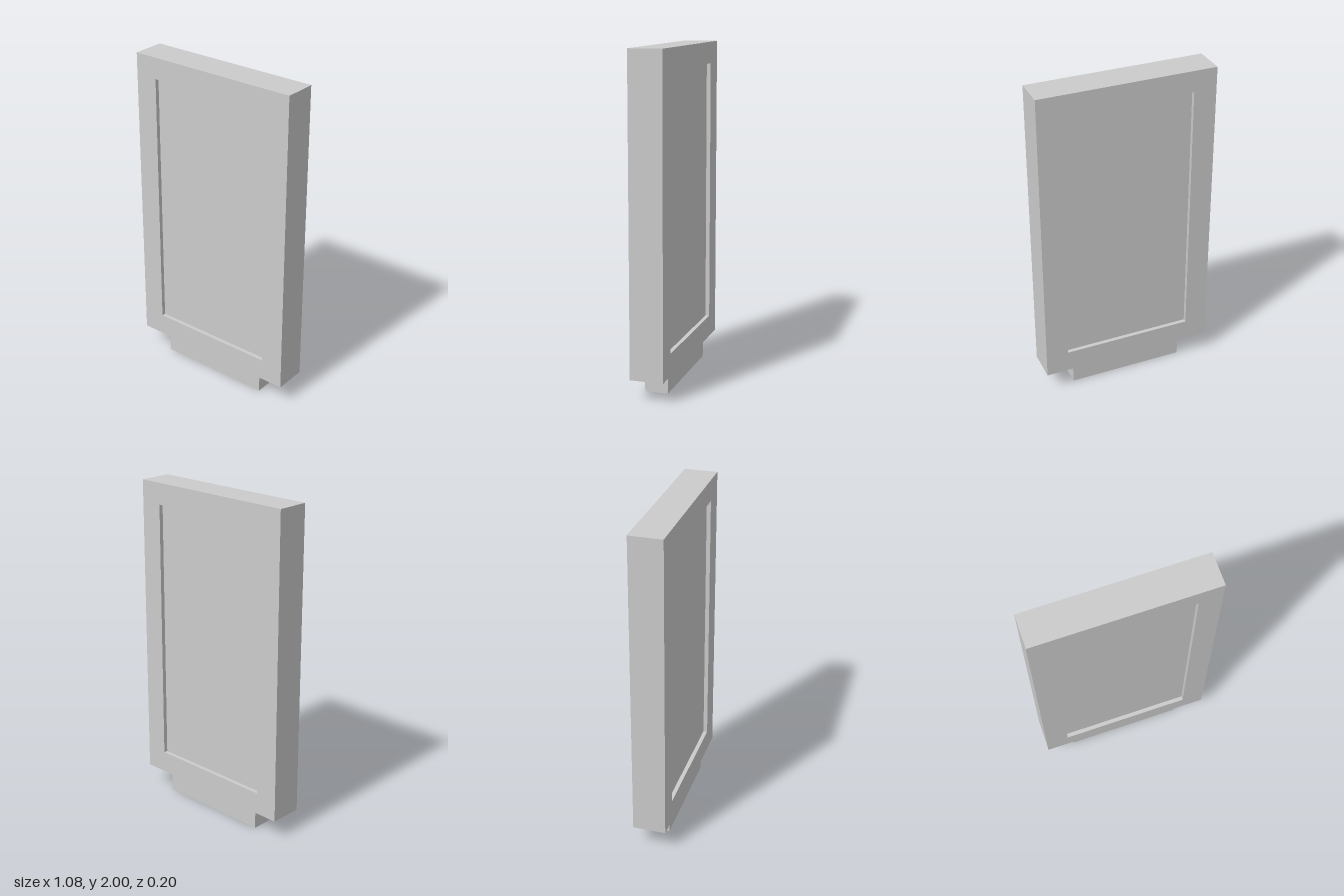
import * as THREE from 'three';

const WIDTH = 1.08, DEPTH = 0.2, BOTTOM = 0.125, TOP = 2;
const OPENING = { x: 0.4, bottom: 0.26, top: 1.87 };
const RECESS = 0.025;

function rectangle(path, x, bottom, top) {
  path.moveTo(-x, bottom);
  path.lineTo(x, bottom);
  path.lineTo(x, top);
  path.lineTo(-x, top);
  path.closePath();
  return path;
}

export function createModel() {
  const group = new THREE.Group();
  group.name = 'displayStand';
  const material = new THREE.MeshStandardMaterial({ color: 0xcccccc });

  const add = (name, geometry, y = 0) => {
    const mesh = new THREE.Mesh(geometry, material);
    mesh.name = name;
    mesh.position.y = y;
    group.add(mesh);
  };

  // Rectangular frame, open through the middle
  const outline = rectangle(new THREE.Shape(), WIDTH / 2, BOTTOM, TOP);
  outline.holes.push(rectangle(new THREE.Path(), OPENING.x, OPENING.bottom, OPENING.top));
  const frame = new THREE.ExtrudeGeometry(outline, { depth: DEPTH, bevelEnabled: false });
  frame.translate(0, 0, -DEPTH / 2);
  add('frame', frame);

  // Panel set back from the frame on both faces
  const panelHeight = OPENING.top - OPENING.bottom;
  add('panel', new THREE.BoxGeometry(2 * OPENING.x, panelHeight, DEPTH - 2 * RECESS),
    OPENING.bottom + panelHeight / 2);

  // Foot block under the frame
  add('foot', new THREE.BoxGeometry(0.72, BOTTOM, 0.14), BOTTOM / 2);

  return group;
}
